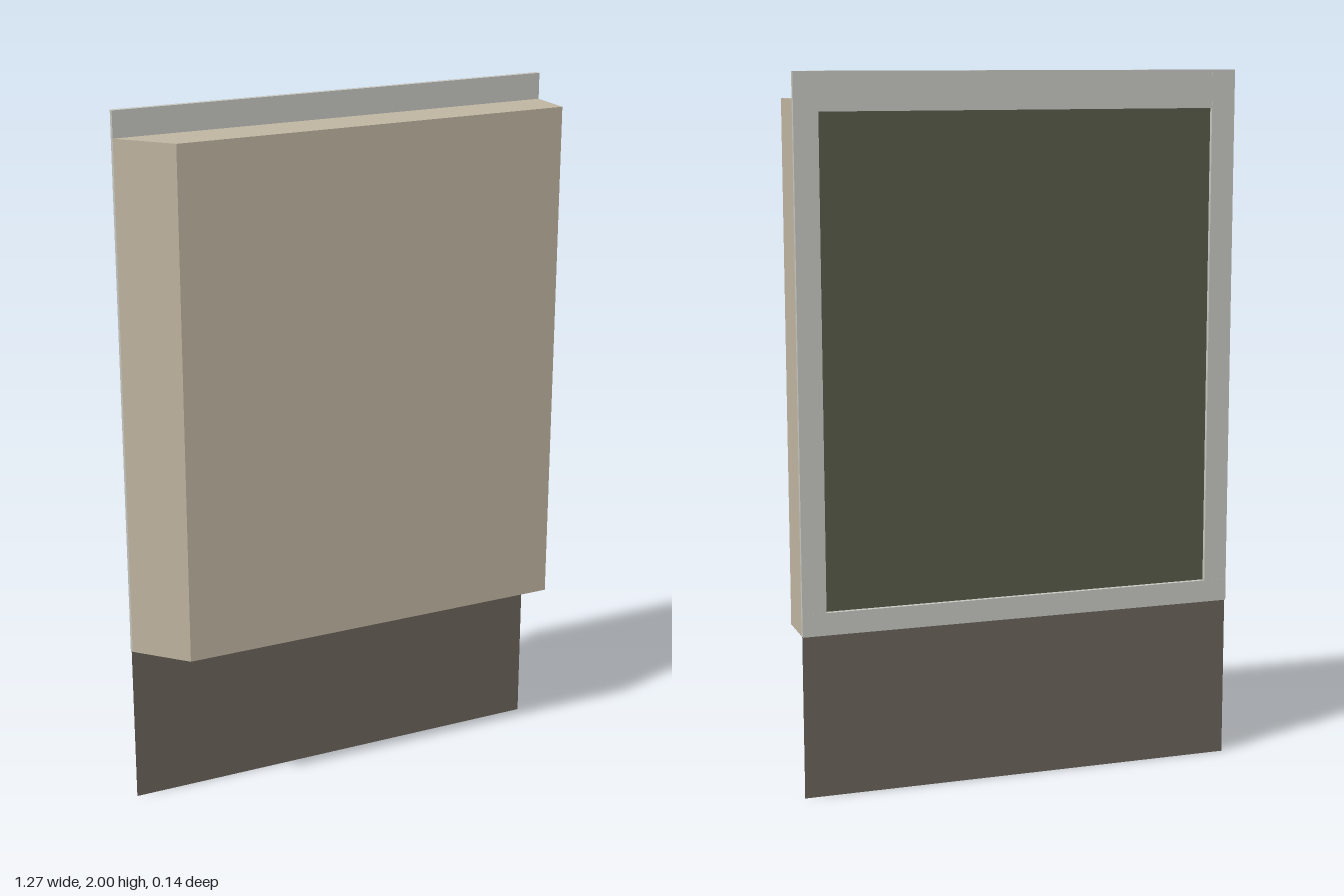
import * as THREE from 'three';

const material = (name, color, side = THREE.FrontSide) => {
  const m = new THREE.MeshStandardMaterial({ color, side });
  m.name = name;
  return m;
};

export function createModel() {
  const group = new THREE.Group();
  group.name = 'wallPanel';

  const beige = material('beige', 0xc0b5a2);
  const grey = material('light grey', 0xc6c6c0);
  const green = material('dark green', 0x565a48);
  const brown = material('dark brown', 0x6a635b, THREE.DoubleSide);

  const add = (name, geometry, mat, x = 0, y = 0, z = 0) => {
    const mesh = new THREE.Mesh(geometry, mat);
    mesh.name = name;
    mesh.position.set(x, y, z);
    group.add(mesh);
    return mesh;
  };

  const half = 0.633, bottom = 0.466, top = 2, bodyTop = 1.927;
  const front = 0.0725, seam = -0.057, back = -0.0725;

  // Slab with one mitred edge: plan outline (x, -z) extruded upwards
  const plan = new THREE.Shape([
    new THREE.Vector2(-half, -seam),
    new THREE.Vector2(-0.508, -front),
    new THREE.Vector2(half, -front),
    new THREE.Vector2(half, -seam),
  ]);
  const slab = new THREE.ExtrudeGeometry(plan, { depth: bodyTop - bottom, bevelEnabled: false });
  slab.rotateX(-Math.PI / 2);
  add('slab', slab, beige, 0, bottom, 0);

  // Frame behind the slab; each member steps back slightly from the next
  const bar = (name, x0, x1, y0, y1, z) => add(
    name,
    new THREE.BoxGeometry(x1 - x0, y1 - y0, seam - z),
    grey, (x0 + x1) / 2, (y0 + y1) / 2, (seam + z) / 2,
  );
  const post = 0.068, topRail = 0.106, bottomRail = 0.064;
  bar('bottomRail', -half, half, bottom, bottom + bottomRail, back);
  bar('topRail', -half + post, half - post, top - topRail, top, back + 0.001);
  for (const [name, s] of [['leftPost', 1], ['rightPost', -1]]) {
    const a = s * half, b = s * (half - post);
    bar(name, Math.min(a, b), Math.max(a, b), bottom + bottomRail, top, back + 0.0005);
  }

  // Backing set into the frame opening
  const y0 = bottom + bottomRail, y1 = top - topRail;
  add('backing', new THREE.BoxGeometry(2 * (half - post), y1 - y0, 0.002),
    green, 0, (y0 + y1) / 2, seam - 0.001);

  // Thin skirt sheet hanging below the frame
  add('skirt', new THREE.PlaneGeometry(2 * half, bottom), brown, 0, bottom / 2, -0.065);

  return group;
}
